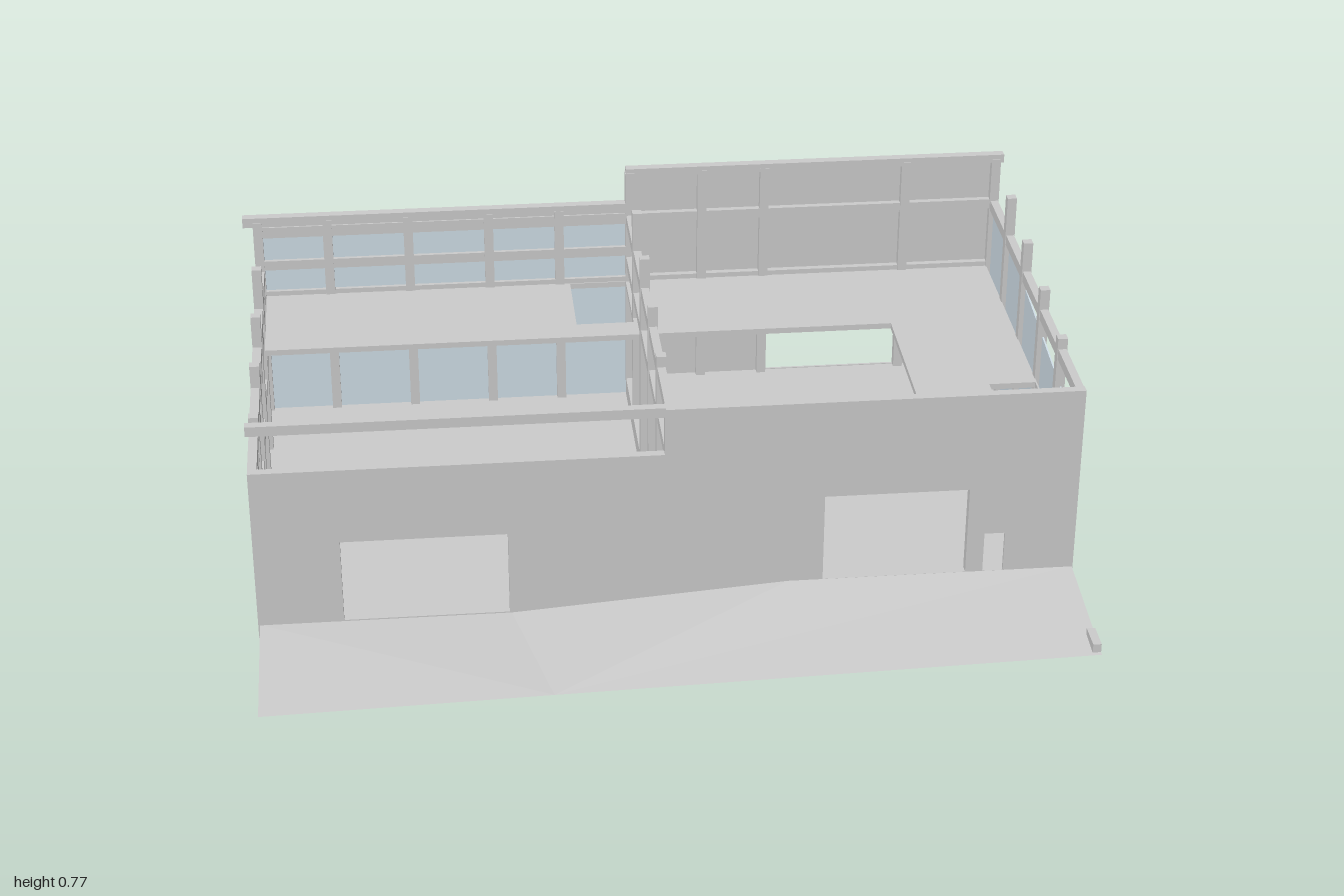
import * as THREE from 'three';

const GREY = new THREE.MeshStandardMaterial({ color: 0xcccccc, flatShading: true, side: THREE.DoubleSide });
const GLASS = new THREE.MeshStandardMaterial({ color: 0xcfdde6, side: THREE.DoubleSide });

const LOW = 0.105, HIGH = 0.155;          // floor levels, left and right bay
const FRONT = 0.36, BACK = -0.7;          // column lines
const LEFT = -0.962, MID = 0.01, RIGHT = 0.98;
const W = 0.024;                          // column width
const COL_X = [LEFT, -0.782, -0.572, -0.362, -0.177, MID, 0.2, 0.365, 0.74, RIGHT];
const COL_Z = [FRONT, 0.15, -0.06, -0.272, -0.484, BACK];

export function createModel() {
  const model = new THREE.Group();
  model.name = 'building';

  const add = (name, geometry, material = GREY) => {
    const mesh = new THREE.Mesh(geometry, material);
    mesh.name = name;
    model.add(mesh);
    return mesh;
  };
  // box given by its minimum and maximum on each axis
  const box = (name, x0, x1, y0, y1, z0, z1, material) => {
    const g = new THREE.BoxGeometry(x1 - x0, y1 - y0, z1 - z0);
    g.translate((x0 + x1) / 2, (y0 + y1) / 2, (z0 + z1) / 2);
    return add(name, g, material);
  };
  const column = (name, x, z, top) =>
    box(name, x - W / 2, x + W / 2, 0, top, z - W / 2, z + W / 2);
  // extruded outline with rectangular openings [x0, x1, y0, y1]
  const panel = (name, outline, holes, depth, material) => {
    const shape = new THREE.Shape(outline.map(p => new THREE.Vector2(...p)));
    for (const [a, b, c, d] of holes) {
      shape.holes.push(new THREE.Path([[a, c], [a, d], [b, d], [b, c]].map(p => new THREE.Vector2(...p))));
    }
    return add(name, new THREE.ExtrudeGeometry(shape, { depth, bevelEnabled: false }), material);
  };
  // sheet from points and triangles
  const sheet = (name, points, faces) => {
    const g = new THREE.BufferGeometry();
    g.setAttribute('position', new THREE.Float32BufferAttribute(points.flat(), 3));
    g.setIndex(faces);
    const flat = g.toNonIndexed();
    flat.computeVertexNormals();
    return add(name, flat);
  };

  // floors at two levels, with the step between them
  box('lowerFloor', -0.97, 0, LOW - 0.004, LOW, BACK, 0.37);
  panel('upperFloor',
    [[0, -BACK], [0, -0.12], [0.3, -0.12], [0.3, -0.37], [0.99, -0.37], [0.99, -BACK]], [], 0.004)
    .rotateX(-Math.PI / 2).position.y = HIGH - 0.004;
  box('floorStep', -0.002, 0.002, LOW, HIGH, BACK, FRONT);
  sheet('innerRamp',
    [[-0.2, LOW, 0.12], [0.3, HIGH, 0.12], [-0.37, LOW, 0.37], [0.3, HIGH, 0.37]],
    [0, 2, 3, 0, 3, 1]);

  // faceted ramp in front
  sheet('frontRamp', [
    [-0.97, LOW, 0.37], [-0.37, LOW, 0.37], [0.3, HIGH, 0.37], [0.99, HIGH, 0.37],
    [-0.97, 0.075, 0.71], [-0.29, 0.092, 0.71], [0.99, 0.122, 0.71],
  ], [0, 4, 5, 0, 5, 1, 1, 5, 2, 2, 5, 3, 3, 5, 6]);
  box('rampCurb', 0.97, 0.99, 0.122, 0.145, 0.63, 0.7);

  // front wall, stepped, with gate openings and a small door
  panel('frontWall',
    [[-0.972, LOW], [0.992, LOW], [0.992, 0.64], [0, 0.64], [0, 0.52], [-0.972, 0.52]],
    [[-0.77, -0.374, LOW + 0.003, 0.325], [0.38, 0.73, HIGH, 0.385], [0.77, 0.82, HIGH, 0.26]], 0.008)
    .position.z = 0.364;
  // back wall, stepped, with one opening
  panel('backWall',
    [[-0.972, LOW], [0.992, LOW], [0.992, 0.76], [0, 0.76], [0, 0.66], [-0.972, 0.66]],
    [[0.38, 0.73, HIGH, 0.385]], 0.006)
    .position.z = -0.71;
  box('leftWall', -0.974, -0.966, LOW, 0.52, -0.71, 0.372);

  // glass lining of the rear left bay
  box('rearGlazing', -0.96, 0, LOW, 0.63, -0.702, -0.698, GLASS);
  // side glazing with a sloping top edge
  const sideGlass = panel('sideGlazing',
    [[-FRONT, HIGH], [-FRONT, 0.515], [0.484, 0.615], [0.7, 0.615], [0.7, HIGH]], [], 0.004, GLASS);
  sideGlass.rotation.y = Math.PI / 2;
  sideGlass.position.x = RIGHT;

  // columns on the front and back lines
  for (const x of COL_X) {
    const right = x >= 0;
    const gate = Math.abs(x + 0.572) < 0.01;
    column('frontColumn', x, FRONT, gate ? LOW : right ? 0.64 : 0.52);
    if (gate) box('gateUpperPost', x - W / 2, x + W / 2, 0.325, 0.52, FRONT - W / 2, FRONT + W / 2);
    column('backColumn', x, -0.696, right ? 0.76 : 0.66);
  }
  // columns on the side and middle lines, rising to the back
  COL_Z.slice(1, 5).forEach((z, i) => {
    const top = 0.668 + 0.0255 * i;
    column('leftColumn', LEFT, z, top - 0.115);
    column('middleColumn', MID, z, top);
    column('rightColumn', RIGHT, z, top);
  });

  // lengthwise beams on the three column lines
  const beamZ = (name, x, top) => box(name, x - 0.01, x + 0.01, top - 0.027, top, BACK, 0.372);
  beamZ('leftBeam', LEFT, 0.52);
  beamZ('middleLowerBeam', MID, 0.52);
  beamZ('middleUpperBeam', MID, 0.64);
  beamZ('rightBeam', RIGHT, 0.64);

  // crosswise beams at the front and the back parapets
  box('frontHighBeam', -0.972, 0, 0.62, 0.645, 0.35, 0.372);
  box('frontLeftBeam', -0.972, 0, 0.495, 0.52, 0.35, 0.37);
  box('frontRightBeam', 0, 0.992, 0.613, 0.64, 0.35, 0.37);
  box('backLeftParapet', -1, 0, 0.648, 0.674, -0.71, -0.686);
  box('backRightParapet', 0, 1, 0.75, 0.772, -0.71, -0.686);

  // wall girts between columns, left out across the right gate
  for (let i = 0; i < COL_X.length - 1; i++) {
    const [a, b] = [COL_X[i], COL_X[i + 1]];
    const gate = Math.abs(a - 0.365) < 0.01;
    const levels = gate ? [0.45] : [0.305, 0.45];
    for (const y of levels) {
      if (!(y < 0.325 && a < -0.5 && a > -0.8)) {
        box('frontGirt', a, b, y - 0.01, y + 0.01, 0.35, 0.366);
      }
      box('backGirt', a, b, y - 0.01, y + 0.01, -0.705, -0.688);
    }
    const y = b <= MID ? 0.535 : 0.63;
    box('backUpperGirt', a, b, y - 0.013, y + 0.013, -0.705, -0.688);
    if (b <= MID) box('backTopRail', a, b, 0.615, 0.645, -0.705, -0.688);
  }
  for (const y of [0.305, 0.45]) {
    box('leftGirt', LEFT - 0.008, LEFT + 0.008, y - 0.01, y + 0.01, BACK, FRONT);
  }

  // L-shaped mezzanine with stair openings
  panel('mezzanine',
    [[-0.95, 0.38], [0.66, 0.38], [0.66, -0.35], [0.97, -0.35], [0.97, 0.69], [-0.95, 0.69]],
    [[-0.15, -0.002, 0.45, 0.685], [0.85, 0.966, -0.12, 0.03], [0.85, 0.966, -0.28, -0.18]], 0.015)
    .rotateX(-Math.PI / 2).position.y = 0.432;

  return model;
}
